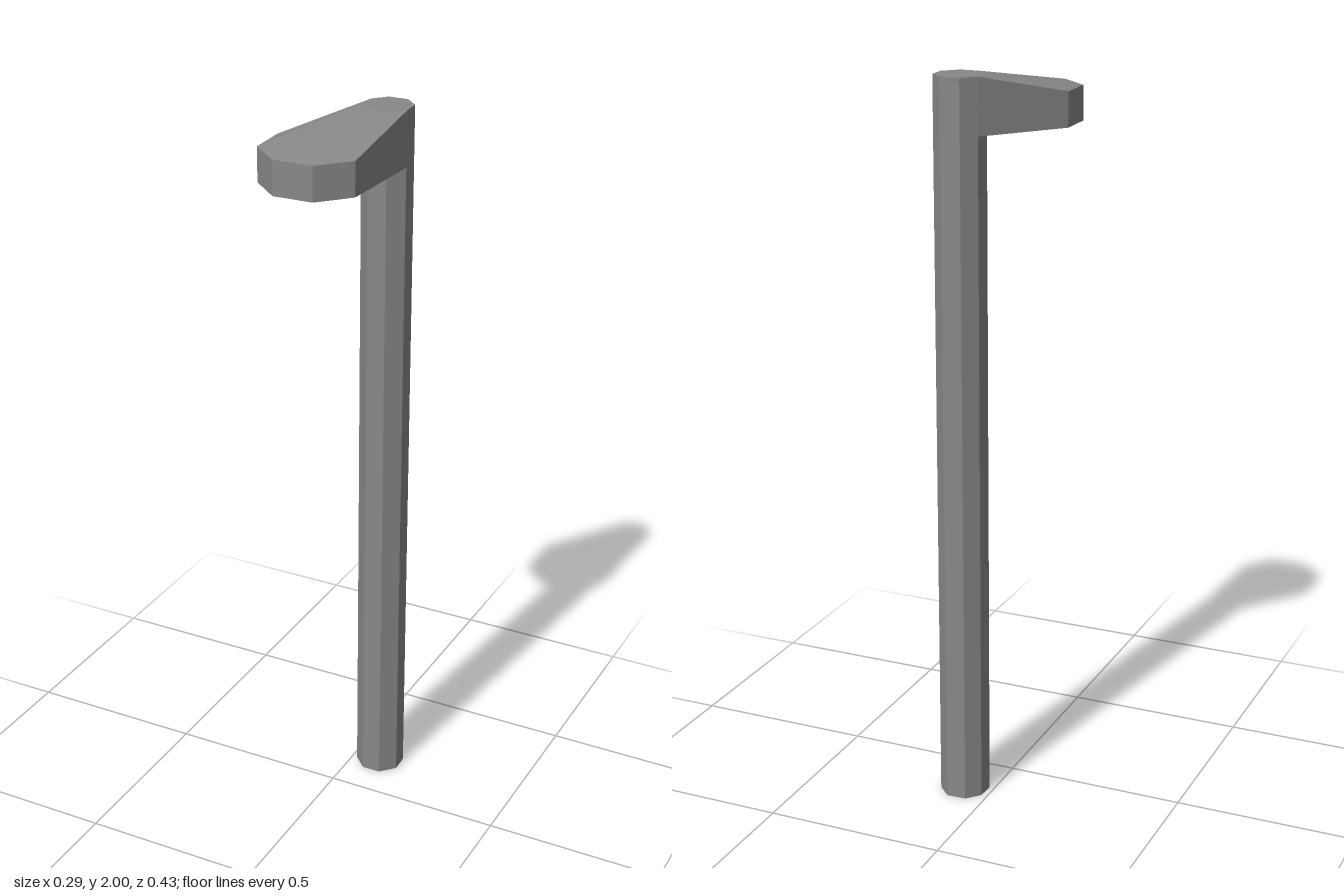
import * as THREE from 'three';

// Plan outlines as [x, z], counter-clockwise seen from above
const pole = [[0.05, -0.215], [0.017, -0.178], [0.015, -0.127], [0.053, -0.09],
  [0.105, -0.091], [0.142, -0.13], [0.14, -0.181], [0.104, -0.217]];
const nose = [[-0.143, 0.028], [-0.14, 0.14], [-0.058, 0.213], [0.052, 0.21], [0.127, 0.13]];
const neck = pole.slice(1, 6); // pole corners the head grows out of

const BOTTOM = 1.85, NOSE_TOP = 1.943, TOP = 2, PANEL = 1.88;

const at = (points, y) => points.map(([x, z]) => [x, y, z]);
const inset = points => points.map(([x, z]) => [x + (-0.01 - x) * 0.14, z + (0.05 - z) * 0.14]);

// Quads between two rows of points; the first row is the lower/right-hand one
function strip(lower, upper, closed = false) {
  const out = [];
  const n = lower.length;
  for (let i = 0; i < (closed ? n : n - 1); i++) {
    const j = (i + 1) % n;
    out.push(lower[i], lower[j], upper[j], lower[i], upper[j], upper[i]);
  }
  return out;
}

// Flat cap over a convex outline
function fan(row) {
  const out = [];
  for (let i = 1; i < row.length - 1; i++) out.push(row[0], row[i], row[i + 1]);
  return out;
}

export function createModel() {
  const group = new THREE.Group();
  const grey = new THREE.MeshStandardMaterial({ color: 0x888888 });
  grey.name = 'grey metal';
  grey.flatShading = true;
  grey.side = THREE.DoubleSide;

  function add(name, ...faces) {
    const geometry = new THREE.BufferGeometry();
    geometry.setAttribute('position', new THREE.Float32BufferAttribute(faces.flat(2), 3));
    geometry.computeVertexNormals();
    const mesh = new THREE.Mesh(geometry, grey);
    mesh.name = name;
    group.add(mesh);
  }

  // Hollow eight-sided post, open at the foot
  add('post', strip(at(pole, 0), at(pole, TOP), true), fan(at(pole, TOP)));

  // Lamp head: sloping top and the walls around it
  add('headTop', strip(at(nose, NOSE_TOP), at(neck, TOP)));
  const rim = [neck[0], ...nose, neck[4]];
  const upperEdge = [...at([neck[0]], TOP), ...at(nose, NOSE_TOP), ...at([neck[4]], TOP)];
  add('headWalls', strip(at(rim, BOTTOM), upperEdge));

  // Underside: flat rim, recess walls and the lamp panel
  const loop = [...nose, ...[...neck].reverse()];
  add('headRim', strip(at(inset(loop), BOTTOM), at(loop, BOTTOM), true));
  add('recessWalls', strip(at(inset(loop), PANEL), at(inset(loop), BOTTOM), true));
  add('lampPanel', strip(at(inset(neck), PANEL), at(inset(nose), PANEL)));

  return group;
}
